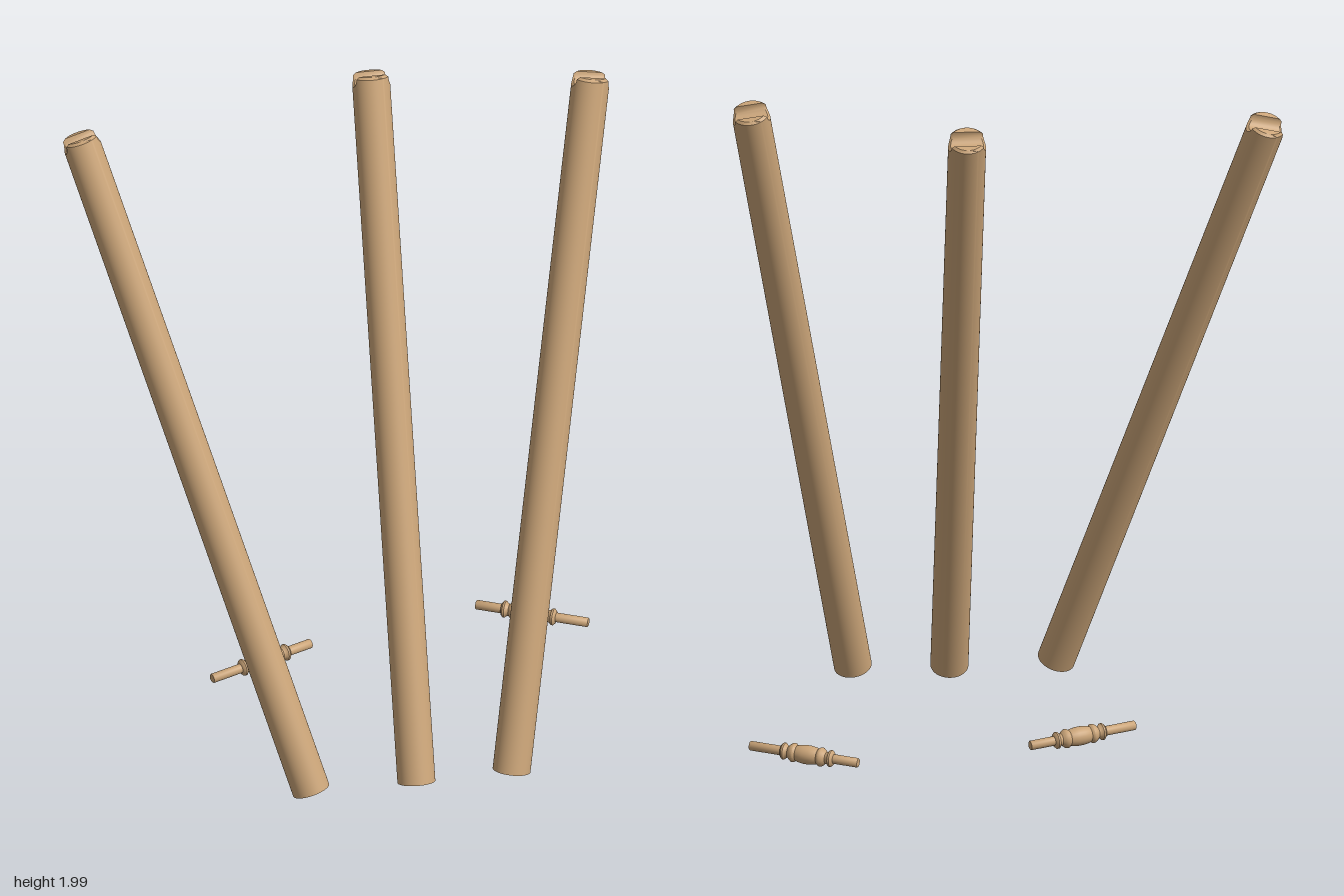
import * as THREE from 'three';
import { toCreasedNormals } from 'three/addons/utils/BufferGeometryUtils.js';

const R = 0.0535;      // stump radius
const LENGTH = 2.055;  // stump length
const GROOVE = 0.028;  // radius of the groove across the top
const BEVEL = 0.007;   // small chamfer round the top

// Stump standing on the origin, lofted through slices along z
function stumpGeometry() {
  const slices = [];
  for (let i = 0; i <= 40; i++) {
    const z = -R * Math.cos((i / 40) * Math.PI);
    if (Math.abs(z) > GROOVE * 1.03) slices.push(z);
  }
  for (let i = 0; i <= 16; i++) slices.push(-GROOVE * Math.cos((i / 16) * Math.PI));
  slices.sort((a, b) => a - b);

  const positions = [];
  const index = [];
  const half = (r, z) => Math.sqrt(Math.max(0, r * r - z * z));
  slices.forEach((z, s) => {
    const x = half(R, z);
    const xi = half(R - BEVEL, z);
    const edge = LENGTH - half(GROOVE, z) - BEVEL;
    const top = edge + Math.min(BEVEL, R - Math.abs(z));
    const ring = [[-x, 0], [x, 0], [x, edge], [xi, top], [-xi, top], [-x, edge]];
    ring.forEach(([px, py]) => positions.push(px * 100, py * 100, z * 100));
    if (s === 0) return;
    for (let k = 0; k < 6; k++) {
      const n = (k + 1) % 6;
      const a = (s - 1) * 6 + k, b = (s - 1) * 6 + n;
      const c = s * 6 + n, d = s * 6 + k;
      index.push(a, b, c, a, c, d);
    }
  });
  const geo = new THREE.BufferGeometry();
  geo.setAttribute('position', new THREE.Float32BufferAttribute(positions, 3));
  geo.setIndex(index);
  // Creased at a larger scale so that close points stay distinct
  return toCreasedNormals(geo, 0.6).scale(0.01, 0.01, 0.01);
}

// Turned bail along y, long spigot at the bottom
function bailGeometry() {
  const profile = [
    [0, 0], [0.012, 0], [0.0135, 0.002], [0.0135, 0.094],
    [0.019, 0.096], [0.024, 0.101], [0.024, 0.106], [0.018, 0.112], [0.017, 0.117],
    [0.022, 0.122], [0.027, 0.129], [0.027, 0.136], [0.022, 0.142],
    [0.0245, 0.148], [0.027, 0.165], [0.027, 0.183], [0.0245, 0.2],
    [0.022, 0.206], [0.027, 0.212], [0.027, 0.219], [0.022, 0.226],
    [0.017, 0.231], [0.018, 0.236], [0.024, 0.242], [0.024, 0.247], [0.019, 0.252],
    [0.0135, 0.254], [0.0135, 0.326], [0.012, 0.328], [0, 0.328],
  ].map(([r, y]) => new THREE.Vector2(r * 100, y * 100));
  const geo = new THREE.LatheGeometry(profile, 28);
  return toCreasedNormals(geo, 0.7).scale(0.01, 0.01, 0.01);
}

export function createModel() {
  const model = new THREE.Group();
  model.name = 'wicket';
  const wood = new THREE.MeshStandardMaterial({ color: 0xcaa478 });
  wood.name = 'wood';

  // Leaning stumps: foot and top centre
  const stump = stumpGeometry();
  [
    ['rightStump', [-0.178, 0.027, 0.365], [-0.735, 1.92, -0.243]],
    ['middleStump', [0.123, 0.019, 0.364], [0.123, 1.94, -0.363]],
    ['leftStump', [0.395, 0.025, 0.364], [0.725, 1.977, -0.2]],
  ].forEach(([name, foot, top]) => {
    const mesh = new THREE.Mesh(stump, wood);
    const start = new THREE.Vector3(...foot);
    const dir = new THREE.Vector3(...top).sub(start).normalize();
    mesh.name = name;
    mesh.position.copy(start);
    mesh.rotation.set(Math.atan2(dir.z, dir.y), 0, -Math.asin(dir.x));
    model.add(mesh);
  });

  // Fallen bails: long end and short end
  const bail = bailGeometry();
  [
    ['rightBail', [-0.361, 0.057, -0.19], [-0.058, 0.057, -0.314]],
    ['leftBail', [0.729, 0.062, -0.271], [0.441, 0.062, -0.412]],
  ].forEach(([name, from, to]) => {
    const mesh = new THREE.Mesh(bail, wood);
    const start = new THREE.Vector3(...from);
    const dir = new THREE.Vector3(...to).sub(start).normalize();
    mesh.name = name;
    mesh.position.copy(start);
    mesh.quaternion.setFromUnitVectors(new THREE.Vector3(0, 1, 0), dir);
    model.add(mesh);
  });
  return model;
}
